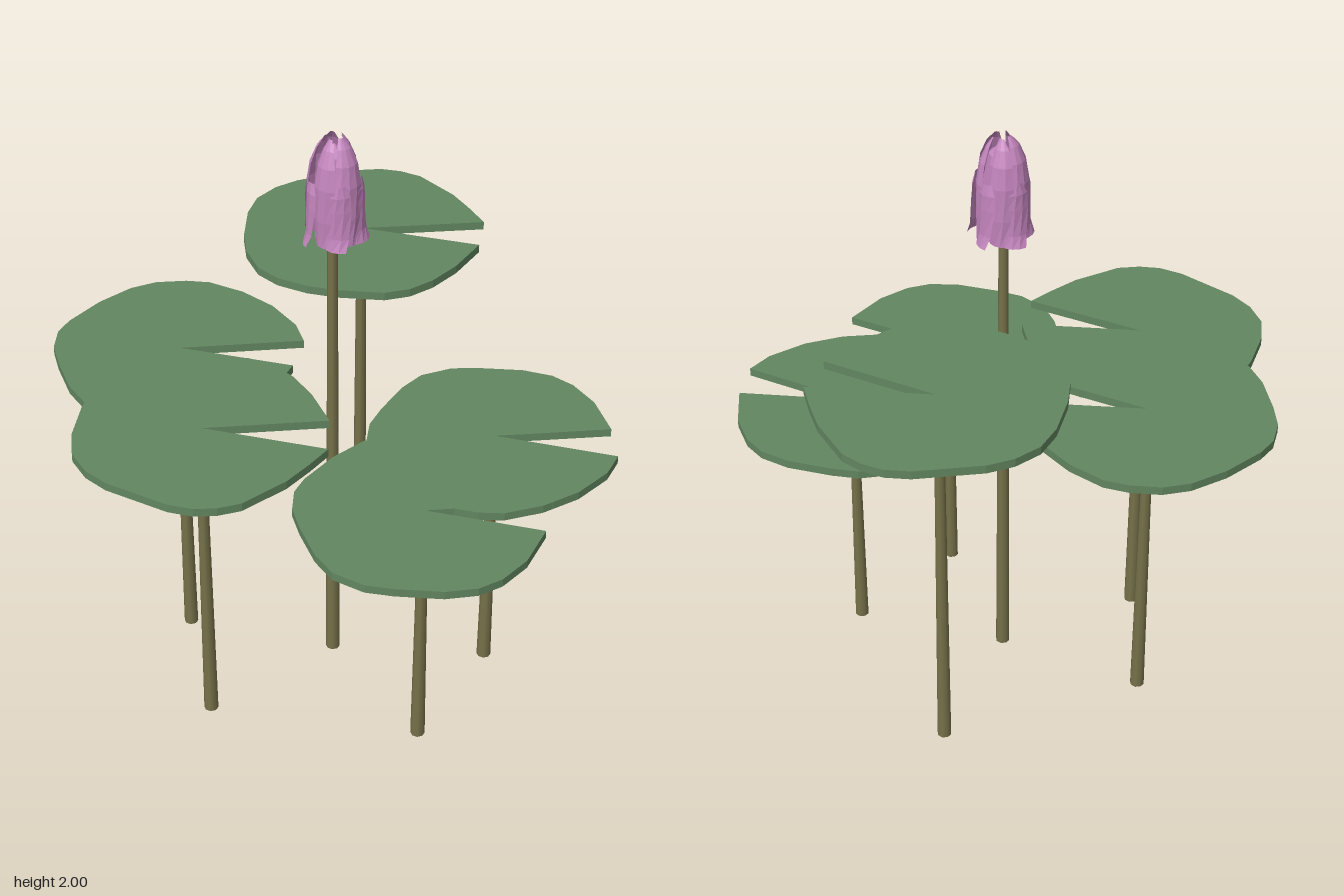
import * as THREE from 'three';

const padGreen = new THREE.MeshStandardMaterial({ color: 0x628660 });
padGreen.name = 'padGreen';
const stemOlive = new THREE.MeshStandardMaterial({ color: 0x77724a });
stemOlive.name = 'stemOlive';
const petalPink = new THREE.MeshStandardMaterial({ color: 0xc385bd, side: THREE.DoubleSide });
petalPink.name = 'petalPink';
petalPink.flatShading = true;

// Two leaf outlines (x, z) around the stem; the notch opens towards +x
const leafA = [
  [0, 0], [0.4, -0.075], [0.35, -0.16], [0.29, -0.25], [0.22, -0.32], [0.17, -0.37], [0.1, -0.4],
  [0.03, -0.41], [-0.05, -0.395], [-0.15, -0.35], [-0.25, -0.305], [-0.32, -0.25], [-0.375, -0.17],
  [-0.395, -0.07], [-0.39, 0.08], [-0.37, 0.18], [-0.32, 0.28], [-0.25, 0.34], [-0.15, 0.38],
  [-0.05, 0.397], [0.1, 0.4], [0.18, 0.37], [0.25, 0.31], [0.32, 0.215], [0.39, 0.075],
];
const leafB = [
  [0, 0], [0.395, -0.078], [0.36, -0.17], [0.27, -0.28], [0.16, -0.36], [0.04, -0.41], [-0.04, -0.413],
  [-0.14, -0.395], [-0.22, -0.35], [-0.31, -0.255], [-0.39, -0.13], [-0.415, -0.06], [-0.412, 0.03],
  [-0.38, 0.12], [-0.32, 0.25], [-0.26, 0.33], [-0.16, 0.38], [-0.07, 0.39], [0.08, 0.39],
  [0.18, 0.365], [0.25, 0.315], [0.32, 0.22], [0.375, 0.07],
];
const THICK = 0.028;

function addStem(group, x, z, height) {
  const geo = new THREE.CylinderGeometry(0.016, 0.024, height, 8);
  const stem = new THREE.Mesh(geo, stemOlive);
  stem.name = 'stem';
  stem.position.set(x, height / 2, z);
  group.add(stem);
}

function lilyPad(name, outline, flip, x, z, top) {
  const group = new THREE.Group();
  group.name = name;
  const shape = new THREE.Shape(outline.map(([px, pz]) => new THREE.Vector2(px, -pz * flip)));
  const geo = new THREE.ExtrudeGeometry(shape, { depth: THICK, bevelEnabled: false });
  geo.rotateX(-Math.PI / 2);
  const leaf = new THREE.Mesh(geo, padGreen);
  leaf.name = 'leaf';
  leaf.position.set(x, top - THICK, z);
  group.add(leaf);
  addStem(group, x - 0.005, z + 0.004, top - THICK / 2);
  return group;
}

// Folded petal: rows of [y, radius, half angle, pinwheel skew]
function petalGeometry(rows) {
  const across = 4, pos = [], index = [];
  rows.forEach(([y, r, half, skew], i) => {
    for (let j = 0; j <= across; j++) {
      const t = (j / across) * 2 - 1;
      const a = t * half + i * 0.06;
      const rad = r * (1 - 0.08 * t * t) + skew * t;
      pos.push(Math.sin(a) * rad, y, Math.cos(a) * rad);
      if (i && j) {
        const b = i * (across + 1) + j, d = b - across - 1;
        index.push(d - 1, d, b, d - 1, b, b - 1);
      }
    }
  });
  const geo = new THREE.BufferGeometry();
  geo.setAttribute('position', new THREE.Float32BufferAttribute(pos, 3));
  geo.setIndex(index);
  geo.computeVertexNormals();
  return geo;
}

function flower() {
  const group = new THREE.Group();
  group.name = 'flower';
  const layers = [
    ['innerPetal', 0.6, [[1.65, 0.075, 0.5, 0.015], [1.74, 0.08, 0.62, 0.012], [1.85, 0.08, 0.66, 0.012],
      [1.92, 0.07, 0.6, 0.01], [1.97, 0.05, 0.5, 0.008], [2.0, 0.028, 0.25, 0.004]]],
    ['outerPetal', 0, [[1.65, 0.098, 0.42, 0.02], [1.69, 0.09, 0.5, 0.016], [1.78, 0.09, 0.56, 0.012],
      [1.83, 0.09, 0.5, 0.008], [1.865, 0.084, 0.28, 0.004]]],
  ];
  for (const [name, turn, rows] of layers) {
    const geo = petalGeometry(rows);
    for (let i = 0; i < 5; i++) {
      const petal = new THREE.Mesh(geo, petalPink);
      petal.name = name;
      petal.rotation.y = turn + (i * Math.PI * 2) / 5;
      group.add(petal);
    }
  }
  // Closed heart of the bud
  const profile = [[0, 1.65], [0.06, 1.655], [0.06, 1.84], [0.04, 1.94], [0, 1.975]];
  const heart = new THREE.Mesh(
    new THREE.LatheGeometry(profile.map(([r, y]) => new THREE.Vector2(r, y)), 10), petalPink);
  heart.name = 'budHeart';
  group.add(heart);
  addStem(group, -0.005, 0.003, 1.67);
  group.position.set(0, 0, 0.063);
  return group;
}

export function createModel() {
  const model = new THREE.Group();
  model.name = 'waterLily';
  model.add(
    lilyPad('backPad', leafA, 1, 0.05, -0.46, 1.377),
    lilyPad('rightBackPad', leafB, 1, -0.51, -0.028, 1.15),
    lilyPad('rightFrontPad', leafA, -1, -0.38, 0.413, 1.15),
    lilyPad('leftBackPad', leafB, -1, 0.525, 0.06, 0.926),
    lilyPad('leftFrontPad', leafB, 1, 0.32, 0.477, 0.926),
    flower(),
  );
  return model;
}
